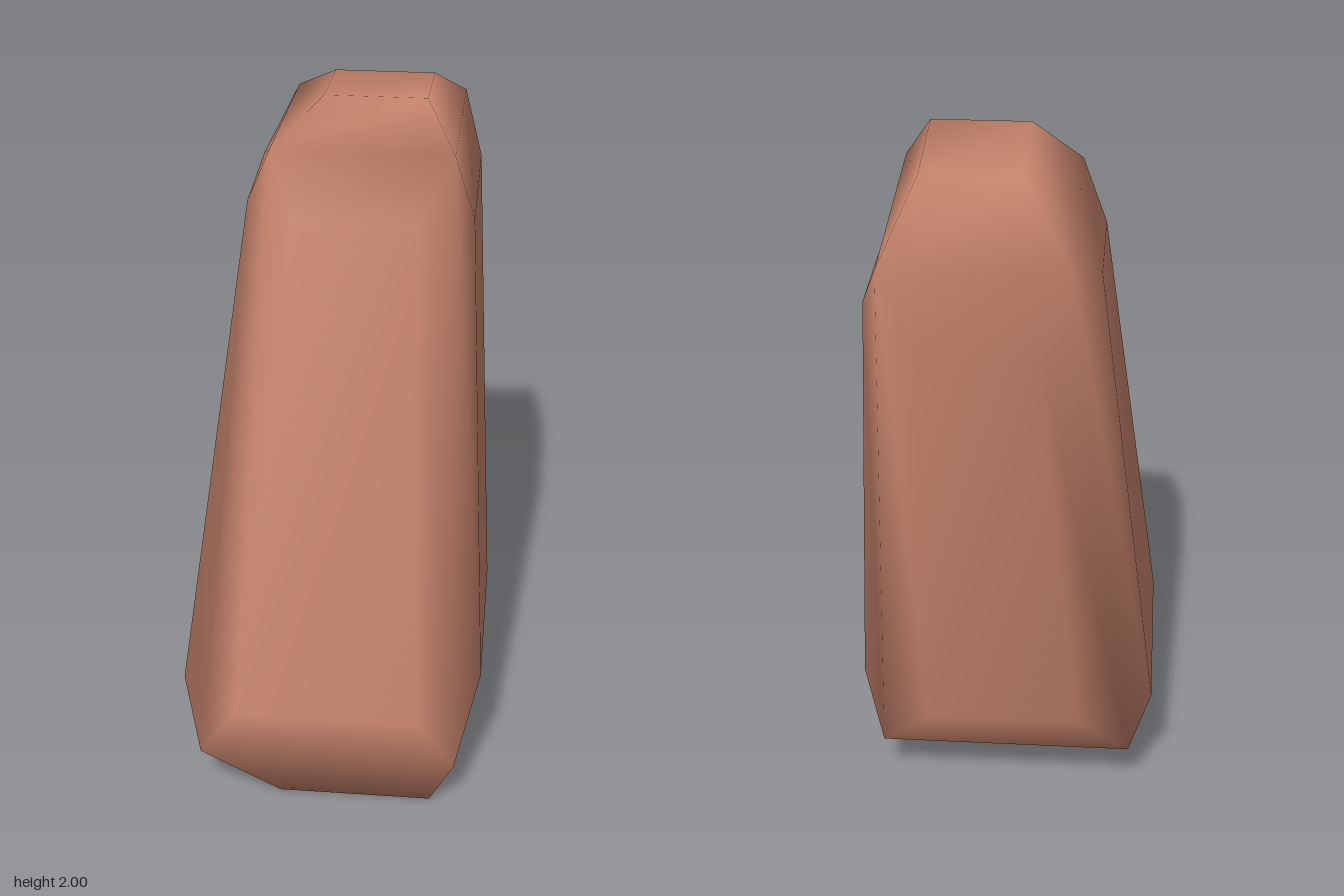
import * as THREE from 'three';

// Eight main corners: low then high, each front-left-of-view, front-right, back-right, back-left
const corners = [
  [-0.37, 0.15, 0.56], [0.37, 0.15, 0.56], [0.37, 0.15, -0.28], [-0.37, 0.15, -0.28],
  [-0.19, 1.87, 0.15], [0.31, 1.87, 0.15], [0.31, 1.81, -0.54], [-0.19, 1.81, -0.54],
];

// Each side of the block: its four corners and the raised panel inside them
const sides = [
  // front
  { frame: [0, 1, 5, 4], panel: [[-0.26, 0.32, 0.6], [0.26, 0.32, 0.6], [0.22, 1.7, 0.26], [-0.12, 1.7, 0.26]] },
  // left of the block
  { frame: [1, 2, 6, 5], panel: [[0.435, 0.34, 0.37], [0.435, 0.34, -0.19], [0.365, 1.66, -0.4], [0.365, 1.66, 0.08]] },
  // back
  { frame: [2, 3, 7, 6], panel: [[0.22, 0.33, -0.4], [-0.22, 0.33, -0.4], [-0.11, 1.61, -0.6], [0.21, 1.61, -0.6]] },
  // right of the block
  { frame: [3, 0, 4, 7], panel: [[-0.435, 0.31, -0.22], [-0.435, 0.31, 0.42], [-0.26, 1.7, 0.1], [-0.26, 1.7, -0.26]] },
  // crown
  { frame: [4, 5, 6, 7], panel: [[-0.05, 2, 0.07], [0.23, 2, 0.07], [0.23, 1.96, -0.25], [-0.05, 1.96, -0.25]] },
  // foot
  { frame: [3, 2, 1, 0], panel: [[-0.14, 0, 0.07], [0.3, 0, 0.07], [0.3, 0, 0.53], [-0.14, 0, 0.53]] },
];

// Smooth skin: a panel on every side, bevelled back to the shared corners
function buildBlock() {
  const points = [...corners];
  const index = [];
  const quad = (a, b, c, d) => index.push(a, b, c, a, c, d);
  for (const { frame, panel } of sides) {
    const start = points.length;
    points.push(...panel);
    quad(start, start + 1, start + 2, start + 3);
    for (let i = 0; i < 4; i++) {
      const j = (i + 1) % 4;
      quad(frame[i], frame[j], start + j, start + i);
    }
  }
  const geometry = new THREE.BufferGeometry();
  geometry.setAttribute('position', new THREE.Float32BufferAttribute(points.flat(), 3));
  geometry.setIndex(index);
  geometry.computeVertexNormals();
  return geometry;
}

export function createModel() {
  const group = new THREE.Group();
  group.name = 'leaningBlock';
  const clay = new THREE.MeshStandardMaterial({ color: 0xc4826a });
  clay.name = 'clay';

  // Leaning bevelled block
  const block = new THREE.Mesh(buildBlock(), clay);
  block.name = 'block';
  group.add(block);
  return group;
}
